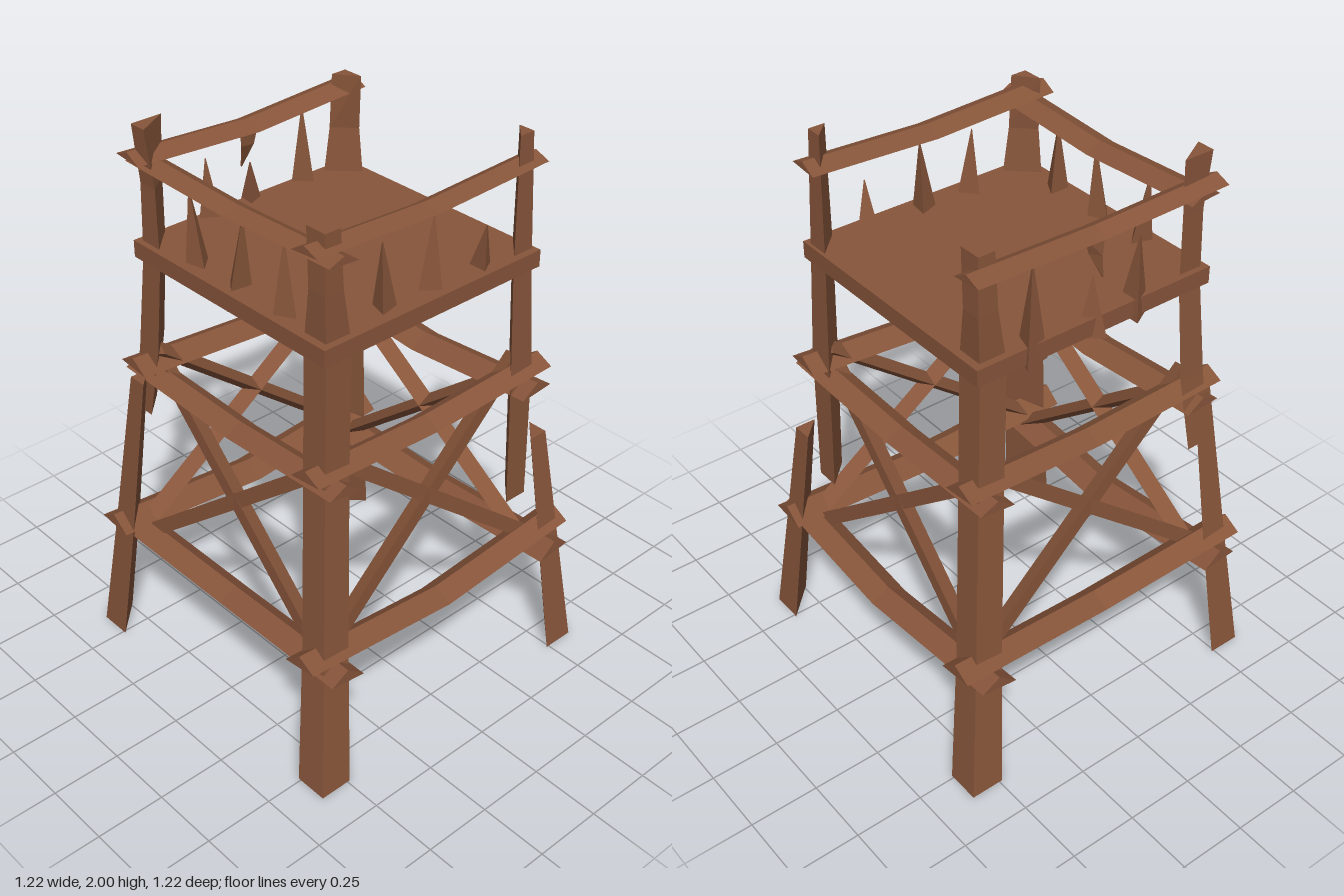
import * as THREE from 'three';

const wood = new THREE.MeshStandardMaterial({ color: 0x87553a, flatShading: true });
wood.name = 'brown wood';

// Joins triangular cross-sections [[x,y,z] x 3] into a closed, flat-faced beam.
function loft(name, sections) {
  const tris = [];
  for (let i = 0; i + 1 < sections.length; i++) {
    const a = sections[i], b = sections[i + 1];
    for (let j = 0; j < 3; j++) {
      const k = (j + 1) % 3;
      tris.push([a[j], a[k], b[k]], [a[j], b[k], b[j]]);
    }
  }
  const s = sections[0], e = sections[sections.length - 1];
  tris.push([s[2], s[1], s[0]], [e[0], e[1], e[2]]);
  // signed volume tells whether the faces point outwards
  const v = (p) => new THREE.Vector3(...p);
  let volume = 0;
  for (const [a, b, c] of tris) volume += v(a).dot(v(b).cross(v(c)));
  if (volume < 0) tris.forEach((t) => t.reverse());
  const g = new THREE.BufferGeometry();
  g.setAttribute('position', new THREE.Float32BufferAttribute(tris.flat(2), 3));
  g.computeVertexNormals();
  const mesh = new THREE.Mesh(g, wood);
  mesh.name = name;
  return mesh;
}

// Leg with a right-angled corner facing outwards; rows are [y, cornerX, cornerZ, sizeX, sizeZ].
function leg(name, sx, sz, rows) {
  return loft(name, rows.map(([y, x, z, w, d = w]) => [
    [sx * x, y, sz * z],
    [sx * (x - w), y, sz * z],
    [sx * x, y, sz * (z - d)],
  ]));
}

// Sagging crossbeam with a ridge on top, running along x at distance d; its outer edge sits a little higher.
function beam(name, half, top, sag, height, d, halfWidth, bow) {
  return loft(name, [-1, 0, 1].map((t) => {
    const x = t * half, y = top - (t ? 0 : sag), z = d - (t ? 0 : bow);
    return [[x, y, z], [x, y - height * 0.7, z + halfWidth], [x, y - height, z - halfWidth]];
  }));
}

// Diagonal brace between the two rows of crossbeams.
function brace(name, dir, midY) {
  const slope = 0.8, w = 0.026, n = Math.hypot(1, slope);
  const ends = [-0.46, 0.43].map((t) => {
    const x = t * dir, y = midY + t * slope, z = t < 0 ? 0.49 : 0.425;
    const px = (-slope / n) * w * dir, py = w / n;
    return [[x + px, y + py, z], [x - px, y - py, z], [x, y, z - 0.055]];
  });
  return loft(name, ends);
}

// Broken, pointed stake; the tip may lean along its wall and outwards.
function stake(u, d, height, lean, out, turn) {
  const ring = (x, y, z, r) => [0, 1, 2].map((i) => {
    const a = turn + (i * Math.PI * 2) / 3;
    return [x + r * Math.cos(a), y, z + r * Math.sin(a)];
  });
  return loft('stake', [ring(u, 1.525, d, 0.055), ring(u + lean, 1.53 + height, d + out, 0.002)]);
}

export function createModel() {
  const tower = new THREE.Group();
  tower.name = 'watchtower';

  // Legs: two whole, two broken and re-joined with offset pieces
  const whole = [[0, 0.61, 0.61, 0.12], [0.5, 0.535, 0.535, 0.105], [1.15, 0.465, 0.465, 0.1],
    [1.55, 0.432, 0.436, 0.1], [1.75, 0.435, 0.435, 0.072], [1.945, 0.427, 0.427, 0.06, 0.08]];
  tower.add(
    leg('frontRightLeg', -1, 1, whole),
    leg('backLeftLeg', 1, -1, whole),
    leg('frontLeftLowerLeg', 1, 1, [[0, 0.61, 0.61, 0.12], [0.87, 0.54, 0.477, 0.075]]),
    leg('frontLeftUpperLeg', 1, 1, [[0.64, 0.465, 0.465, 0.09], [1.15, 0.46, 0.46, 0.1],
      [1.55, 0.45, 0.435, 0.085], [2, 0.43, 0.424, 0.06]]),
    leg('backRightLowerLeg', -1, -1, [[0, 0.61, 0.61, 0.12], [0.5, 0.565, 0.54, 0.1], [1.105, 0.52, 0.45, 0.07]]),
    leg('backRightUpperLeg', -1, -1, [[0.94, 0.465, 0.515, 0.09], [1.2, 0.455, 0.475, 0.1],
      [1.55, 0.44, 0.44, 0.09], [1.8, 0.435, 0.435, 0.085, 0.075], [2, 0.45, 0.442, 0.115, 0.065]]),
  );

  // Platform
  const platform = new THREE.Mesh(new THREE.BoxGeometry(0.92, 0.06, 0.92), wood);
  platform.name = 'platform';
  platform.position.y = 1.565;
  tower.add(platform);

  // Walls: lower is [distance, bow], rail is [distance, bow, top], stakes are [along, height, lean, outward lean]
  const walls = [
    { name: 'front', angle: 0, drop: 0, lower: [0.49, -0.013], upper: 0.432, rail: [0.395, 0, 1.915],
      stakes: [[-0.16, 0.29, -0.015, 0], [0.025, 0.31, 0.012, 0], [0.25, 0.22, -0.02, 0.04]] },
    { name: 'left', angle: Math.PI / 2, drop: 0.05, lower: [0.49, -0.017], upper: 0.43, stakes: [] },
    { name: 'back', angle: Math.PI, drop: 0, lower: [0.508, 0.018], upper: 0.435, rail: [0.437, 0.012, 1.915],
      stakes: [[-0.245, 0.33, 0.005, 0], [-0.01, 0.2, 0, 0], [0.165, 0.27, 0.01, 0]] },
    { name: 'right', angle: -Math.PI / 2, drop: 0.05, lower: [0.49, 0.024], upper: 0.425, rail: [0.4, 0.008, 1.888],
      stakes: [[-0.185, 0.31, -0.045, 0], [-0.015, 0.31, 0.043, 0], [0.228, 0.31, -0.01, 0]] },
  ];
  for (const w of walls) {
    const wall = new THREE.Group();
    wall.name = w.name + 'Wall';
    wall.rotation.y = w.angle;
    wall.add(
      beam('lowerBeam', 0.6, 0.535 - w.drop, 0.036, 0.055, w.lower[0], 0.068, w.lower[1]),
      beam('upperBeam', 0.517, 1.183 - w.drop, 0.03, 0.046, w.upper, 0.065, 0.01),
      brace('risingBrace', 1, 0.85 - w.drop),
      brace('fallingBrace', -1, 0.85 - w.drop),
    );
    if (w.rail) wall.add(beam('handrail', 0.478, w.rail[2], 0.02, 0.032, w.rail[0], 0.057, w.rail[1]));
    w.stakes.forEach(([u, h, lean, out], i) => {
      wall.add(stake(u, w.rail[0], h, lean, out, 0.3 + i * 0.9));
    });
    tower.add(wall);
  }

  // Splinter hanging under the back handrail
  tower.add(loft('hangingSplinter', [
    [[-0.05, 1.85, -0.41], [0.035, 1.86, -0.42], [-0.01, 1.86, -0.46]],
    [[-0.045, 1.81, -0.41], [0.015, 1.8, -0.42], [-0.01, 1.8, -0.455]],
    [[-0.021, 1.72, -0.445], [-0.018, 1.72, -0.445], [-0.02, 1.72, -0.45]],
  ]));
  return tower;
}
